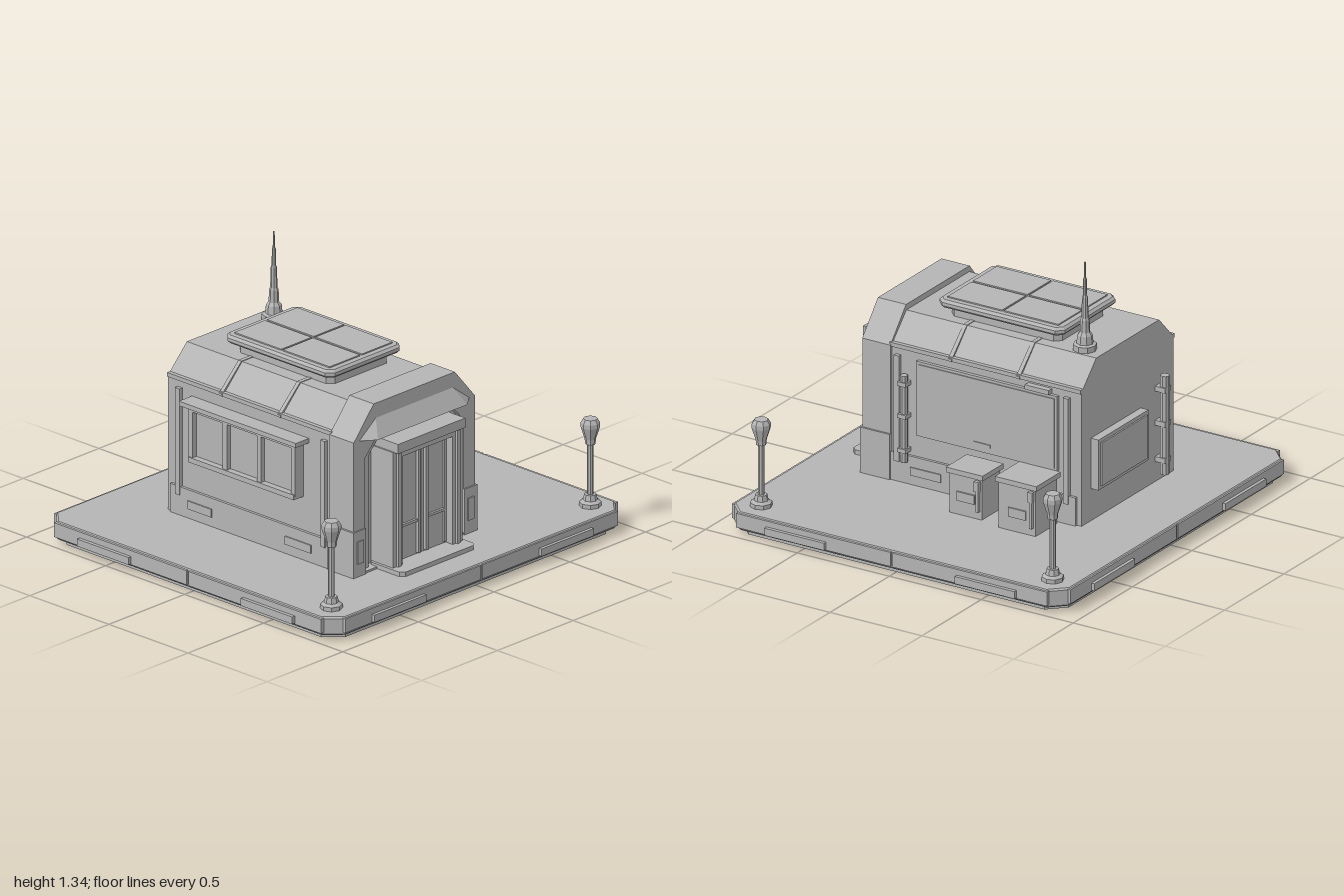
import * as THREE from 'three';
import { ConvexGeometry } from 'three/addons/geometries/ConvexGeometry.js';

const grey = new THREE.MeshStandardMaterial({ color: 0xb4b4b4 });
grey.name = 'plain grey';

function add(parent, name, geo) {
  const flat = geo.index ? geo.toNonIndexed() : geo;
  flat.computeVertexNormals();
  const m = new THREE.Mesh(flat, grey);
  m.name = name;
  parent.add(m);
  return m;
}

// box given by its limits on each axis
function box(parent, name, x0, x1, y0, y1, z0, z1) {
  const g = new THREE.BoxGeometry(x1 - x0, y1 - y0, z1 - z0);
  g.translate((x0 + x1) / 2, (y0 + y1) / 2, (z0 + z1) / 2);
  return add(parent, name, g);
}

// turned part: list of [radius, height]
function turned(parent, name, pts, x, z, sides = 8) {
  const g = new THREE.LatheGeometry(pts.map(p => new THREE.Vector2(...p)), sides);
  return add(parent, name, g.translate(x, 0, z));
}

// eight-sided slab lying flat, cut at the corners
function slab(parent, name, hx, hz, cut, y0, y1, x = 0, z = 0, bevel = 0) {
  const a = hx - bevel, b = hz - bevel;
  const s = new THREE.Shape([[a, -b + cut], [a, b - cut], [a - cut, b], [-a + cut, b],
    [-a, b - cut], [-a, -b + cut], [-a + cut, -b], [a - cut, -b]].map(p => new THREE.Vector2(...p)));
  const g = new THREE.ExtrudeGeometry(s, { depth: y1 - y0 - 2 * bevel, bevelEnabled: bevel > 0,
    bevelSize: bevel, bevelThickness: bevel, bevelSegments: 1 });
  g.rotateX(-Math.PI / 2).translate(x, y0 + bevel, z);
  return add(parent, name, g);
}

// arch outline with sloping shoulders
const arch = (w, top, shoulder, y0, y1) => [[-w, y0], [w, y0], [w, shoulder], [top, y1], [-top, y1],
  [-w, shoulder]].map(p => new THREE.Vector2(...p));

function archBlock(parent, name, outer, inner, z0, z1) {
  const s = new THREE.Shape(outer);
  if (inner) s.holes.push(new THREE.Path(inner));
  const g = new THREE.ExtrudeGeometry(s, { depth: z1 - z0, bevelEnabled: false });
  return add(parent, name, g.translate(0, 0, z0));
}

function platform(root) {
  const p = new THREE.Group(); p.name = 'platform'; root.add(p);
  slab(p, 'lowerSlab', 0.94, 0.885, 0.08, 0.005, 0.04);
  slab(p, 'deck', 0.972, 0.915, 0.075, 0.03, 0.12, 0, 0, 0.008);
  for (const s of [-1, 1]) for (const t of [-1, 1]) {
    // rim strips with a gap in the middle, and raised bumpers
    const span = (a, b) => t > 0 ? [a, b] : [-b, -a];
    const side = (a, b) => s > 0 ? [a, b] : [-b, -a];
    box(p, 'rimStrip', ...span(0.006, 0.9), 0.045, 0.115, ...side(0.9, 0.921));
    box(p, 'rimStrip', ...side(0.96, 0.982), 0.045, 0.115, ...span(0.006, 0.845));
    box(p, 'bumper', ...span(0.38, 0.725), 0.05, 0.086, ...side(0.91, 0.937));
    box(p, 'bumper', ...side(0.97, 1), 0.05, 0.086, ...span(0.355, 0.68));
  }
}

function lamp(root, x, z) {
  const g = new THREE.Group(); g.name = 'lampPost'; root.add(g);
  turned(g, 'lampBase', [[0, 0.115], [0.052, 0.115], [0.052, 0.14], [0.034, 0.15], [0.028, 0.178], [0, 0.178]], x, z);
  turned(g, 'lampPole', [[0.015, 0.17], [0.015, 0.43]], x, z);
  turned(g, 'lampHead', [[0, 0.425], [0.024, 0.425], [0.026, 0.45], [0.045, 0.51], [0.045, 0.53], [0.033, 0.55], [0, 0.55]], x, z);
}

function entrance(b) {
  // stepped portal arch
  archBlock(b, 'portal', arch(0.4, 0.268, 0.785, 0.12, 0.94), arch(0.325, 0.235, 0.69, 0.13, 0.785), 0.462, 0.615);
  archBlock(b, 'innerPortal', arch(0.33, 0.24, 0.69, 0.12, 0.79), arch(0.275, 0.215, 0.68, 0.13, 0.75), 0.462, 0.59);
  archBlock(b, 'portalWall', arch(0.28, 0.22, 0.68, 0.12, 0.755), null, 0.45, 0.56);
  // sloping visor above the doors
  const visor = [[-0.37, 0.785, 0.61], [-0.25, 0.875, 0.61], [0.25, 0.875, 0.61], [0.37, 0.785, 0.61],
    [-0.295, 0.785, 0.668], [0.295, 0.785, 0.668]].map(v => new THREE.Vector3(...v));
  add(b, 'visor', new ConvexGeometry(visor));
  for (const s of [-1, 1]) {
    const bx = (n, x0, x1, ...r) => box(b, n, ...(s > 0 ? [x0, x1] : [-x1, -x0]), ...r);
    bx('portalFoot', 0.325, 0.41, 0.12, 0.345, 0.46, 0.622);
    bx('footPanel', 0.345, 0.385, 0.185, 0.295, 0.61, 0.628);
    bx('doorJamb', 0.165, 0.23, 0.13, 0.71, 0.55, 0.70);
    bx('jambStrip', 0.185, 0.205, 0.14, 0.70, 0.69, 0.71);
    // double door leaf with rails and pull bar
    bx('doorLeaf', 0.004, 0.166, 0.14, 0.69, 0.55, 0.655);
    bx('doorStile', 0.147, 0.162, 0.15, 0.68, 0.65, 0.665);
    bx('doorRail', 0.02, 0.147, 0.305, 0.318, 0.65, 0.667);
    bx('doorRail', 0.02, 0.147, 0.665, 0.68, 0.65, 0.663);
    bx('doorHandle', 0.018, 0.032, 0.15, 0.68, 0.65, 0.673);
  }
  box(b, 'doorHeader', -0.23, 0.23, 0.675, 0.712, 0.55, 0.70);
  box(b, 'lintel', -0.222, 0.222, 0.71, 0.757, 0.55, 0.725);
  slab(b, 'frontStep', 0.245, 0.11, 0.02, 0.115, 0.142, 0, 0.665);
}

function roof(b) {
  // raised skylight with four panes
  slab(b, 'skylightBase', 0.2, 0.3, 0.03, 0.9, 0.965, 0.007, -0.03);
  slab(b, 'skylightFrame', 0.245, 0.34, 0.025, 0.96, 1.0, 0.007, -0.03, 0.012);
  for (const x of [-0.1, 0.114]) for (const z of [-0.183, 0.123])
    box(b, 'skylightPane', x - 0.1, x + 0.1, 0.996, 1.006, z - 0.148, z + 0.148);
  // narrow ribs across the roof
  for (const z of [0.14, -0.23])
    archBlock(b, 'roofRib', arch(0.398, 0.269, 0.79, 0.778, 0.915), null, z - 0.01, z + 0.01);
  // stepped mast
  turned(b, 'mast', [[0, 0.9], [0.056, 0.9], [0.056, 0.94], [0.04, 0.945], [0.036, 0.985], [0.024, 1.0],
    [0.022, 1.06], [0.017, 1.07], [0.014, 1.17], [0.01, 1.18], [0.009, 1.26], [0.005, 1.27], [0.004, 1.345], [0, 1.345]], 0.205, -0.47);
}

function walls(b) {
  archBlock(b, 'hall', arch(0.388, 0.265, 0.785, 0.12, 0.912), null, -0.57, 0.47);
  for (const s of [-1, 1]) {
    const bx = (n, x0, x1, ...r) => box(b, n, ...(s > 0 ? [x0, x1] : [-x1, -x0]), ...r);
    bx('skirting', 0.37, 0.402, 0.12, 0.26, -0.545, 0.47);
    bx('eaveStrip', 0.37, 0.396, 0.778, 0.798, -0.57, 0.47);
    bx('skirtingPanel', 0.39, 0.408, 0.167, 0.207, 0.185, 0.35);
    bx('skirtingPanel', 0.39, 0.408, 0.167, 0.207, -0.43, -0.28);
    for (const z of [0.425, -0.495]) bx('wallRib', 0.37, 0.408, 0.22, 0.745, z - 0.014, z + 0.014);
  }
  // large window on one side
  box(b, 'windowFrame', 0.38, 0.406, 0.372, 0.742, -0.448, 0.318);
  box(b, 'windowPane', 0.4, 0.411, 0.385, 0.729, -0.435, 0.305);
  box(b, 'windowLabel', 0.4, 0.416, 0.405, 0.42, -0.09, 0.0);
  box(b, 'windowVent', 0.38, 0.418, 0.745, 0.768, -0.41, -0.28);
  turned(b, 'wallPipe', [[0, 0.23], [0.018, 0.23], [0.018, 0.66], [0, 0.66]], 0.412, 0.38);
  for (const y of [0.28, 0.45, 0.61]) box(b, 'pipeClamp', 0.38, 0.434, y, y + 0.02, 0.357, 0.403);

  // serving window with awning on the other side
  box(b, 'hatchBack', -0.42, -0.38, 0.43, 0.70, -0.37, 0.27);
  box(b, 'hatchSill', -0.452, -0.38, 0.425, 0.45, -0.385, 0.285);
  box(b, 'hatchHead', -0.445, -0.38, 0.675, 0.70, -0.385, 0.285);
  for (let i = 0; i < 4; i++) {
    const z = -0.375 + i * 0.216;
    box(b, 'hatchPost', -0.445, -0.38, 0.44, 0.69, z - 0.012, z + 0.014);
  }
  box(b, 'awning', -0.475, -0.38, 0.7, 0.722, -0.42, 0.32);

  // notice board and pole on the back
  box(b, 'boardFrame', -0.11, 0.31, 0.28, 0.53, -0.612, -0.56);
  box(b, 'board', -0.092, 0.292, 0.298, 0.512, -0.62, -0.61);
  turned(b, 'backPole', [[0, 0.16], [0.022, 0.16], [0.022, 0.65], [0, 0.65]], -0.255, -0.608);
  for (const y of [0.22, 0.4, 0.57]) box(b, 'poleClamp', -0.28, -0.23, y, y + 0.025, -0.625, -0.56);
}

function crate(root, x1, z0, z1, top) {
  const g = new THREE.Group(); g.name = 'utilityCrate'; root.add(g);
  const zc = (z0 + z1) / 2;
  box(g, 'crateBody', 0.295, x1 - 0.012, 0.12, top - 0.02, z0 + 0.012, z1 - 0.012);
  box(g, 'crateLid', 0.285, x1, top - 0.025, top, z0, z1);
  box(g, 'crateLabel', x1 - 0.02, x1 - 0.004, 0.19, 0.235, zc - 0.05, zc + 0.045);
  box(g, 'crateLatch', x1 - 0.02, x1 + 0.006, top - 0.085, top - 0.035, z0 + 0.02, z0 + 0.045);
  box(g, 'crateHandle', x1 - 0.02, x1 + 0.006, 0.16, 0.3, z0 + 0.022, z0 + 0.036);
}

export function createModel() {
  const root = new THREE.Group(); root.name = 'outpost';
  platform(root);
  for (const [x, z] of [[-0.855, 0.79], [0.855, 0.79], [0.855, -0.795]]) lamp(root, x, z);
  const b = new THREE.Group(); b.name = 'building'; b.position.x = -0.125; root.add(b);
  walls(b);
  entrance(b);
  roof(b);
  crate(root, 0.49, -0.47, -0.245, 0.375);
  crate(root, 0.462, -0.16, 0.04, 0.345);
  return root;
}
